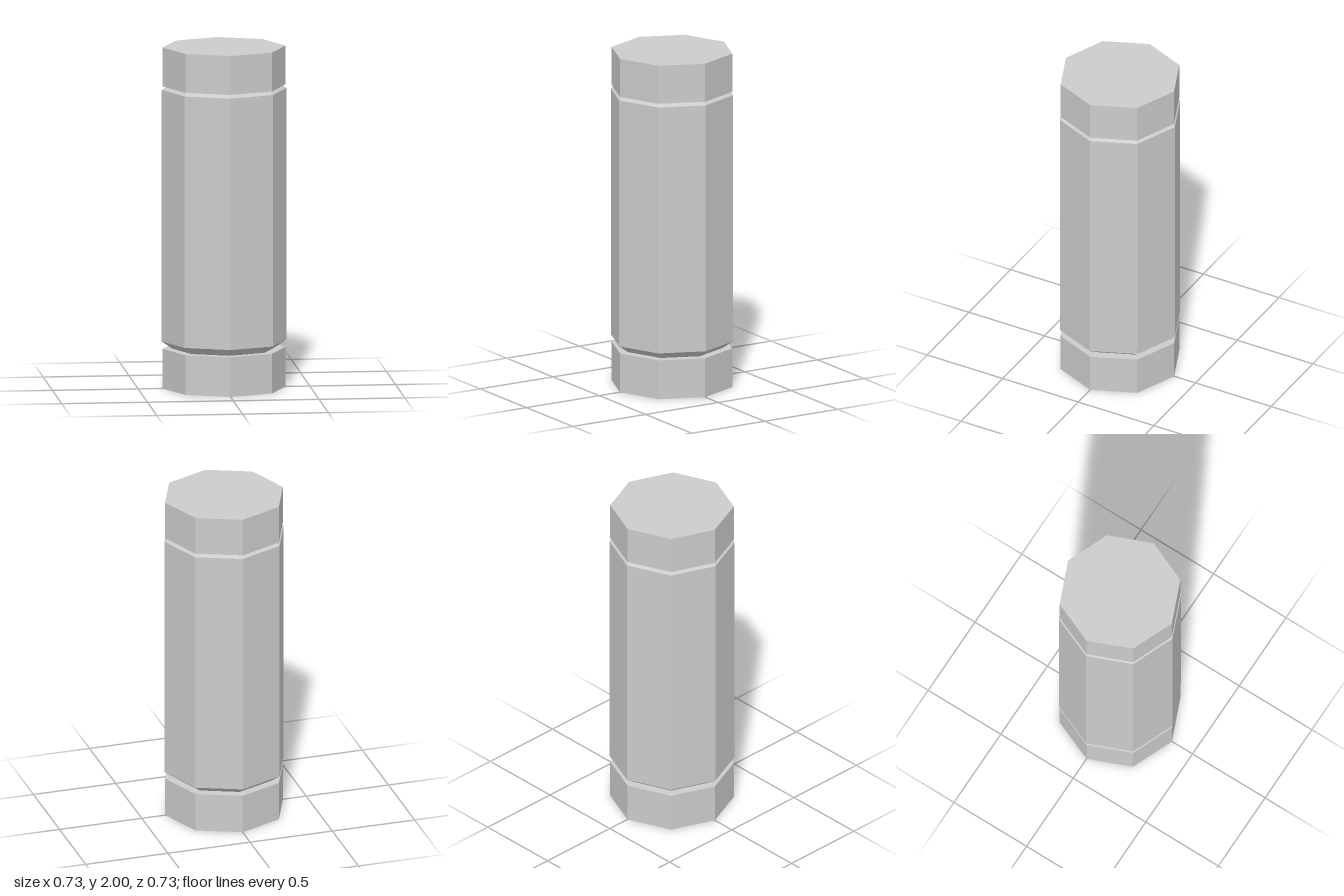
import * as THREE from 'three';

const SIDES = 8;

export function createModel() {
  const group = new THREE.Group();
  const material = new THREE.MeshStandardMaterial({ color: 0xcccccc, flatShading: true });

  // Octagonal prism or frustum spanning y0 to y1, corners on the x and z axes
  const addPrism = (name, rTop, rBottom, y0, y1, open = false) => {
    const geometry = new THREE.CylinderGeometry(rTop, rBottom, y1 - y0, SIDES, 1, open);
    const mesh = new THREE.Mesh(geometry, material);
    mesh.name = name;
    mesh.position.y = (y0 + y1) / 2;
    group.add(mesh);
  };

  // End caps
  addPrism('bottomCap', 0.358, 0.358, 0, 0.233);
  addPrism('topCap', 0.358, 0.358, 1.772, 2);

  // Main barrel with a chamfer at each end; the upper one runs into the top cap
  addPrism('lowerChamfer', 0.363, 0.302, 0.233, 0.276, true);
  addPrism('barrel', 0.363, 0.363, 0.276, 1.751, true);
  addPrism('upperChamfer', 0.302, 0.363, 1.751, 1.794, true);

  return group;
}
